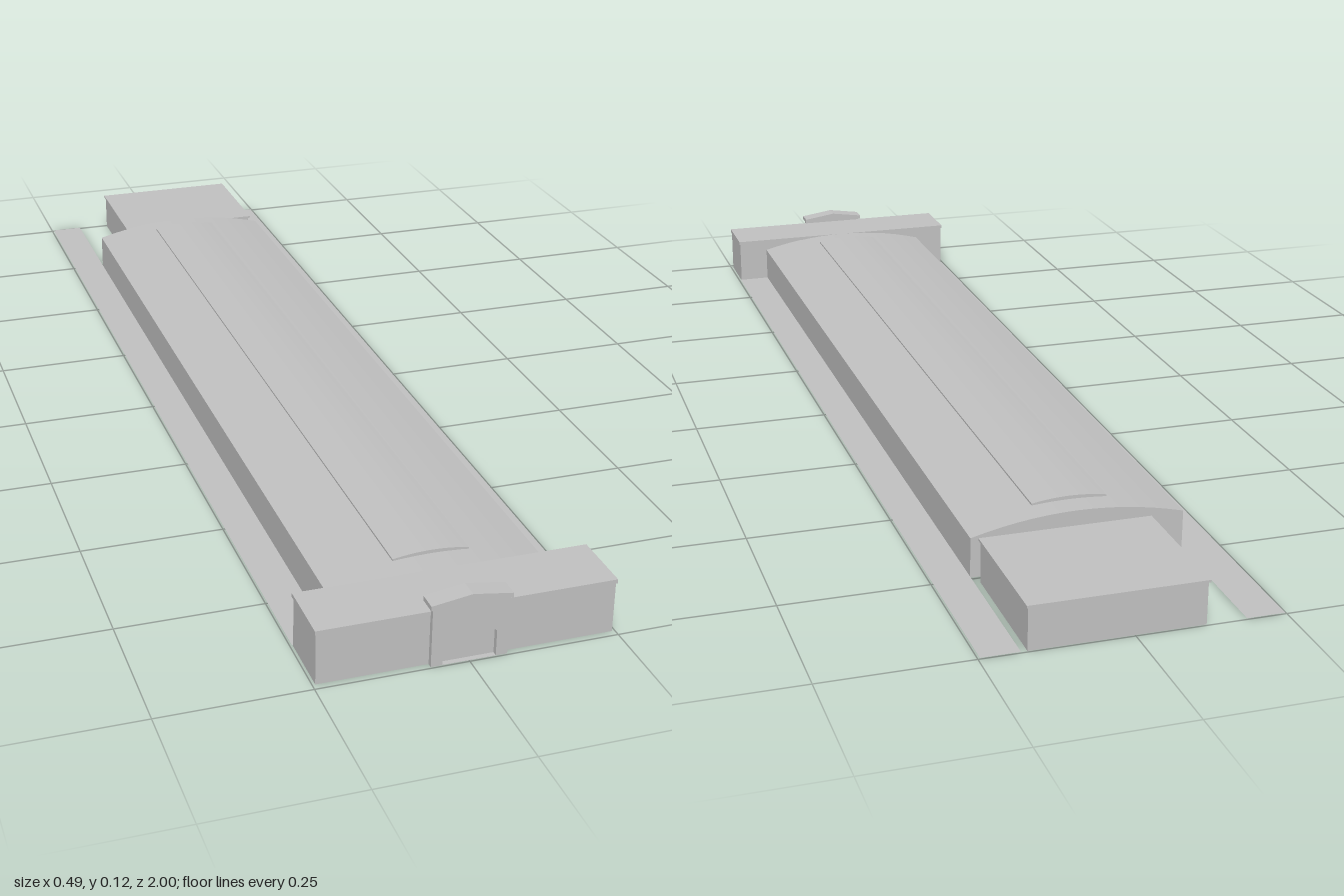
import * as THREE from 'three';

const stone = new THREE.MeshStandardMaterial({ color: 0xc0c0c0, side: THREE.DoubleSide });
stone.name = 'grey stone';

export function createModel() {
  const model = new THREE.Group();

  const add = (name, geometry, x = 0, y = 0, z = 0) => {
    const mesh = new THREE.Mesh(geometry, stone);
    mesh.name = name;
    mesh.position.set(x, y, z);
    model.add(mesh);
    return mesh;
  };

  // Box between two corners
  const block = (name, x0, x1, y0, y1, z0, z1) =>
    add(name, new THREE.BoxGeometry(x1 - x0, y1 - y0, z1 - z0),
      (x0 + x1) / 2, (y0 + y1) / 2, (z0 + z1) / 2);

  // Upright wall without thickness, between two points on plan
  const wall = (name, xa, za, xb, zb, height) => {
    const mesh = add(name, new THREE.PlaneGeometry(Math.hypot(xb - xa, zb - za), height),
      (xa + xb) / 2, height / 2, (za + zb) / 2);
    mesh.rotation.y = Math.atan2(-(zb - za), xb - xa);
  };

  // Four walls, open underneath, anticlockwise so they face outwards
  const walls = (name, x0, x1, z0, z1, height) => {
    const c = [[x0, z1], [x1, z1], [x1, z0], [x0, z0]];
    c.forEach((p, i) => wall(name, ...p, ...c[(i + 1) % 4], height));
  };

  const shapeOf = points => new THREE.Shape(points.map(p => new THREE.Vector2(...p)));
  const prism = (name, shape, z0, z1) =>
    add(name, new THREE.ExtrudeGeometry(shape, { depth: z1 - z0, bevelEnabled: false }), 0, 0, z0);

  // Shallow vault points from left to right
  const arc = (half, base, crown, steps = 14) =>
    Array.from({ length: steps + 1 }, (_, i) => {
      const t = (i / steps) * 2 - 1;
      return [t * half, base + (crown - base) * (1 - t * t)];
    });

  // Curved sheet swept along z, with smooth normals
  const vault = (name, points, z0, z1) => {
    const g = new THREE.PlaneGeometry(1, 1, points.length - 1, 1);
    const pos = g.attributes.position;
    for (let i = 0; i < pos.count; i++) {
      const p = points[i % points.length];
      pos.setXYZ(i, p[0], p[1], i < points.length ? z0 : z1);
    }
    g.computeVertexNormals();
    add(name, g);
  };

  // Long hall: side walls, gable ends and vaulted roof
  const hallFront = 0.88, hallBack = -0.745, hallHalf = 0.183, eaves = 0.07;
  const roofLine = arc(hallHalf, eaves, 0.095);
  wall('hallWall', hallHalf, hallFront, hallHalf, hallBack, eaves);
  wall('hallWall', -hallHalf, hallBack, -hallHalf, hallFront, eaves);
  vault('hallRoof', roofLine, hallBack, hallFront);
  const gable = shapeOf([[-hallHalf, 0], ...roofLine, [hallHalf, 0]]);
  add('hallFrontGable', new THREE.ShapeGeometry(gable), 0, 0, hallFront - 0.001);
  add('hallBackGable', new THREE.ShapeGeometry(gable), 0, 0, hallBack).scale.z = -1;

  // Raised skylight along the ridge
  const lid = arc(0.065, 0.095, 0.101);
  const under = arc(0.065, 0.09, 0.095).reverse();
  prism('skylight', shapeOf([...lid, ...under]), -0.7, 0.83);

  // Flat platforms along both sides
  for (const s of [-1, 1]) {
    const p = add('platform', new THREE.PlaneGeometry(0.064, 1.88), s * 0.215, 0.002, -0.06);
    p.rotation.x = -Math.PI / 2;
  }

  // Cross building at the front
  walls('headWall', -0.245, 0.245, hallFront, 0.988, 0.09);
  block('headRoof', -0.247, 0.247, 0.088, 0.095, 0.878, 0.99);

  // Porch with pointed doorway
  const porch = shapeOf([[-0.063, 0], [0.063, 0], [0.063, 0.103], [-0.063, 0.103]]);
  porch.holes.push(new THREE.Path(
    [[-0.044, 0.0005], [-0.044, 0.045], [0, 0.09], [0.044, 0.045], [0.044, 0.0005]]
      .map(p => new THREE.Vector2(...p))));
  prism('porchWall', porch, 0.988, 0.997);
  prism('porchRoof', shapeOf([[-0.067, 0.102], [0.067, 0.102], [0.067, 0.11], [0, 0.12], [-0.067, 0.11]]),
    0.967, 1);

  // Flat-roofed block at the back
  walls('backBlockWall', -0.117, 0.172, -0.997, -0.765, 0.074);
  block('backBlockRoof', -0.12, 0.175, 0.073, 0.077, -1, -0.762);

  return model;
}
